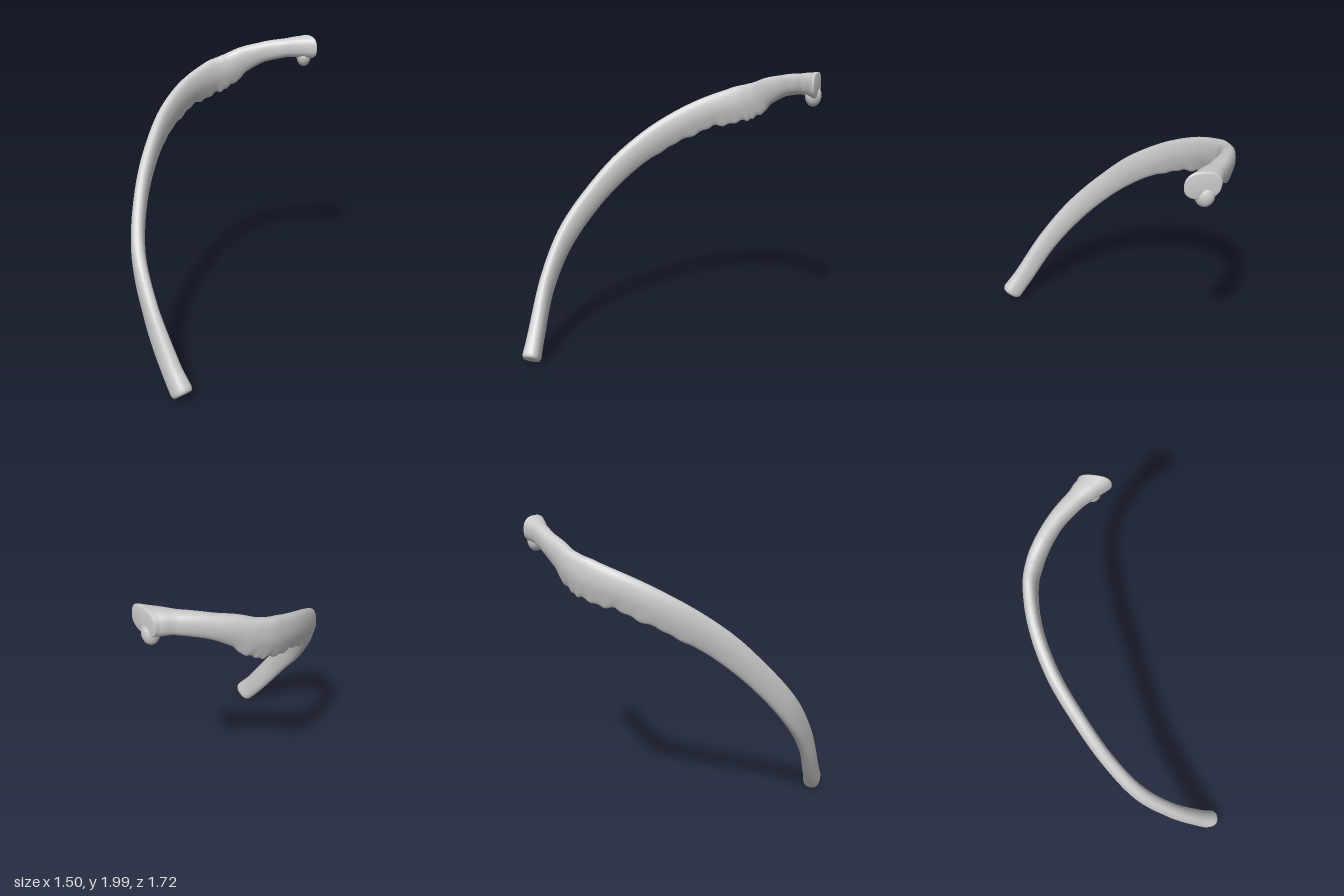
import * as THREE from 'three';

// Stations along the rib: x, y, z, half height, half thickness, lower-edge thinning, yaw of section
const STATIONS = [
  [-0.525, 0.055, 0.800, 0.080, 0.062, 0.0, 0],
  [-0.580, 0.190, 0.705, 0.077, 0.054, 0.0, 0],
  [-0.672, 0.500, 0.510, 0.080, 0.045, 0.1, 0],
  [-0.710, 0.785, 0.290, 0.085, 0.046, 0.2, 0],
  [-0.658, 1.060, 0.045, 0.087, 0.044, 0.3, 0],
  [-0.550, 1.300, -0.200, 0.096, 0.044, 0.4, 0],
  [-0.400, 1.485, -0.450, 0.108, 0.044, 0.5, 0],
  [-0.200, 1.625, -0.660, 0.114, 0.044, 0.6, 0],
  [0.000, 1.698, -0.783, 0.130, 0.047, 0.6, 0],
  [0.120, 1.745, -0.810, 0.120, 0.050, 0.5, 0],
  [0.220, 1.808, -0.811, 0.095, 0.050, 0.3, 0],
  [0.380, 1.868, -0.793, 0.074, 0.050, 0.1, 0],
  [0.550, 1.902, -0.745, 0.069, 0.057, 0.0, 0.05],
  [0.650, 1.912, -0.710, 0.078, 0.080, 0.0, 0.4],
  [0.718, 1.915, -0.683, 0.086, 0.108, 0.0, 0.7],
];
const RINGS = 180, SIDES = 28;
const Y = new THREE.Vector3(0, 1, 0);

// Smoothly interpolated station value
function valueAt(t, k) {
  const f = t * (STATIONS.length - 1);
  const i = Math.min(Math.floor(f), STATIONS.length - 2);
  const u = THREE.MathUtils.smoothstep(f - i, 0, 1);
  return THREE.MathUtils.lerp(STATIONS[i][k], STATIONS[i + 1][k], 0.5 * (u + f - i));
}

// Rounded-box falloff for the cross-section
const soften = (v) => Math.sign(v) * Math.pow(Math.abs(v), 0.8);

function ribGeometry() {
  const path = new THREE.CatmullRomCurve3(
    STATIONS.map(([x, y, z]) => new THREE.Vector3(x, y, z)), false, 'centripetal');
  const pos = [], index = [];
  for (let i = 0; i <= RINGS; i++) {
    const t = i / RINGS;
    const c = path.getPoint(t), T = path.getTangent(t);
    const up = Y.clone().addScaledVector(T, -T.y).normalize();
    const out = up.clone().cross(T).applyAxisAngle(up, valueAt(t, 6));
    // Bevelled rims at both ends
    const rim = [0.84, 0.95, 1][Math.min(i, RINGS - i, 2)];
    const h = valueAt(t, 3) * rim, w = valueAt(t, 4) * rim, thin = valueAt(t, 5);
    // Rough lower edge where the muscle attaches
    const rough = thin > 0.4 ? (thin - 0.4) * 0.035 * (Math.sin(i * 1.15) + Math.sin(i * 0.53 + 1)) : 0;
    for (let j = 0; j < SIDES; j++) {
      const a = (j / SIDES) * Math.PI * 2;
      const s = soften(Math.sin(a)), k = soften(Math.cos(a));
      const low = Math.max(0, -s);
      const p = c.clone()
        .addScaledVector(up, s * h - rough * low * low)
        .addScaledVector(out, k * w * (1 - thin * low));
      pos.push(p.x, p.y, p.z);
    }
  }
  for (let i = 0; i < RINGS; i++) {
    for (let j = 0; j < SIDES; j++) {
      const n = (j + 1) % SIDES;
      const a = i * SIDES + j, b = i * SIDES + n, c = a + SIDES, d = b + SIDES;
      index.push(a, b, c, b, d, c);
    }
  }
  // End caps: front one is slightly hollow
  const last = RINGS * SIDES, cap = pos.length / 3;
  const front = path.getPoint(0.008), back = path.getPoint(1);
  pos.push(front.x, front.y, front.z, back.x + 0.006, back.y, back.z);
  for (let j = 0; j < SIDES; j++) {
    const n = (j + 1) % SIDES;
    index.push(cap, n, j, cap + 1, last + j, last + n);
  }
  const g = new THREE.BufferGeometry();
  g.setAttribute('position', new THREE.Float32BufferAttribute(pos, 3));
  g.setIndex(index);
  g.computeVertexNormals();
  return g;
}

export function createModel() {
  const group = new THREE.Group();
  group.name = 'ribBone';
  const bone = new THREE.MeshStandardMaterial({ color: 0xcccccc });
  bone.name = 'bone grey';

  const shaft = new THREE.Mesh(ribGeometry(), bone);
  shaft.name = 'ribShaft';
  group.add(shaft);

  // Knob below the head
  const knob = new THREE.Mesh(new THREE.SphereGeometry(1, 28, 20), bone);
  knob.name = 'tubercle';
  knob.scale.set(0.052, 0.072, 0.058);
  knob.position.set(0.678, 1.842, -0.7);
  group.add(knob);
  return group;
}
